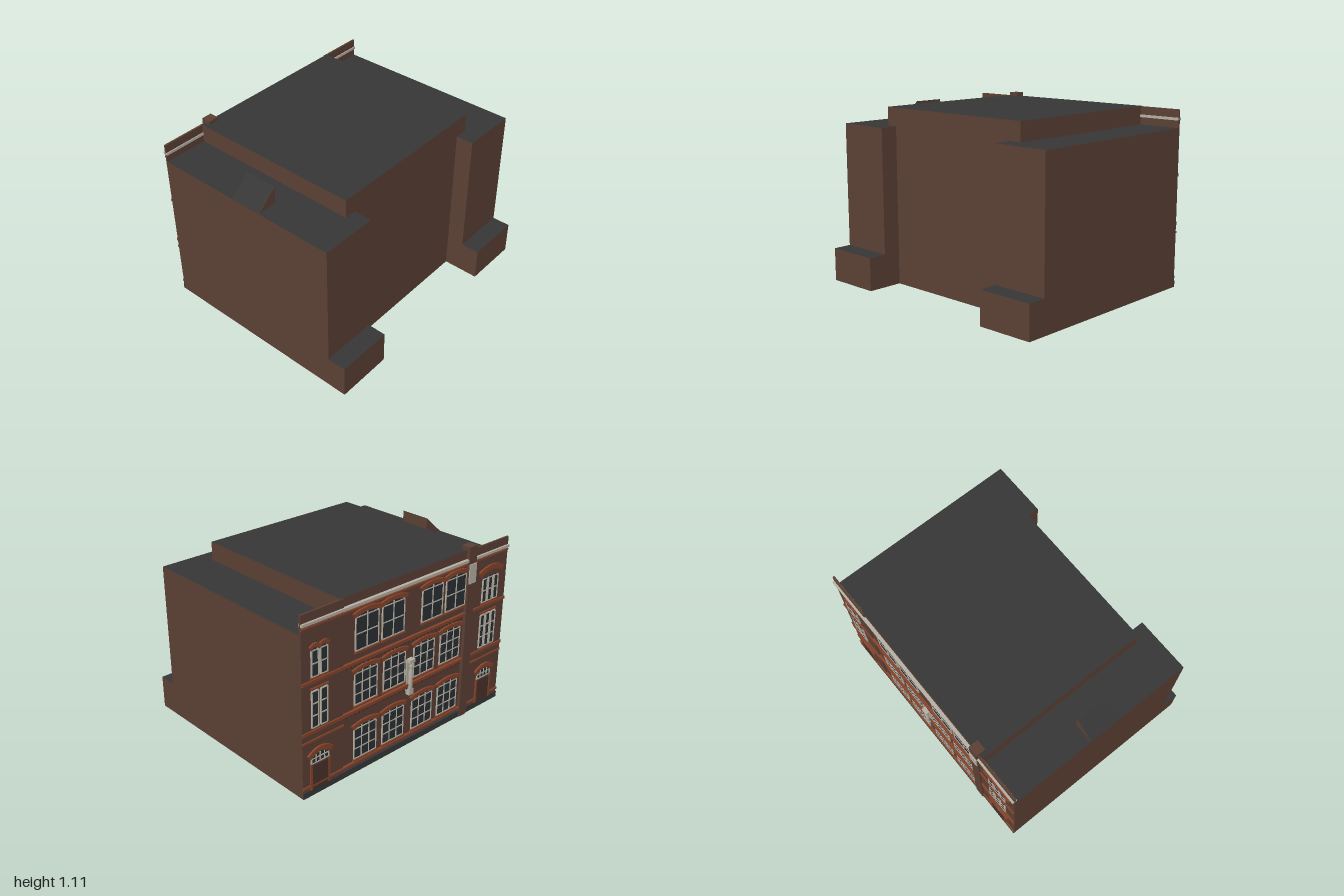
import * as THREE from 'three';

const paint = (name, color, side = THREE.FrontSide) => {
  const m = new THREE.MeshStandardMaterial({ color, side });
  m.name = name;
  return m;
};

export function createModel() {
  const brick = paint('brown brick', 0x5a3f33, THREE.DoubleSide);
  const slate = paint('dark roofing', 0x363636, THREE.DoubleSide);
  const terracotta = paint('orange terracotta', 0x84432a);
  const stone = paint('pale stone', 0xb4afa3);
  const glass = paint('dark glass', 0x2b3033);
  const wood = paint('door brown', 0x49302a);

  const model = new THREE.Group();
  model.name = 'building';
  // Local axes: x runs along the street facade, z runs into the plot
  const plot = new THREE.Group();
  plot.name = 'plot';
  plot.position.set(-0.994, 0, -0.303);
  plot.rotation.y = THREE.MathUtils.degToRad(22.2);
  model.add(plot);

  const add = (name, geo, mat, parent = plot) => {
    const mesh = new THREE.Mesh(geo, mat);
    mesh.name = name;
    parent.add(mesh);
    return mesh;
  };
  // Box given by its extents
  const block = (name, mat, x0, x1, y0, y1, z0, z1, parent) => {
    const m = add(name, new THREE.BoxGeometry(x1 - x0, y1 - y0, z1 - z0), mat, parent);
    m.position.set((x0 + x1) / 2, (y0 + y1) / 2, (z0 + z1) / 2);
    return m;
  };
  // Upright sheets following a ground path of [x, z] points
  const walls = (name, path, y0, y1) => {
    const p = [];
    for (let i = 0; i + 1 < path.length; i++) {
      const [a, b] = path[i], [c, d] = path[i + 1];
      p.push(a, y0, b, a, y1, b, c, y1, d, a, y0, b, c, y1, d, c, y0, d);
    }
    const g = new THREE.BufferGeometry();
    g.setAttribute('position', new THREE.Float32BufferAttribute(p, 3));
    g.computeVertexNormals();
    return add(name, g, brick);
  };
  const roof = (name, x0, x1, z0, z1, y) => {
    const g = new THREE.PlaneGeometry(x1 - x0, z1 - z0).rotateX(-Math.PI / 2);
    add(name, g, slate).position.set((x0 + x1) / 2, y, (z0 + z1) / 2);
  };

  // Open-bottomed shell: main hall with two wings
  const W = 1.62, H = 0.975, T = 1.088, L = 0.205, D = 1.09, E = 1.2, F = 1.315;
  const inL = 0.345, inR = 1.268, upL = 0.274, upR = 1.35;
  walls('outerWalls', [[0, E], [0, 0], [W, 0], [W, E]], 0, H);
  walls('hallEndWall', [[inL, E], [inL, D], [inR, D], [inR, E]], 0, H);
  walls('upperWalls', [[upL, 0], [upR, 0], [upR, D], [upL, D], [upL, 0]], H, T);
  roof('hallRoof', upL, upR, 0, D, T);
  for (const [side, a, b, u0, u1] of [['right', 0, inL, 0, upL], ['left', inR, W, upR, W]]) {
    walls(side + 'WingEnd', [[a, E], [b, E]], L, H);
    walls(side + 'Annex', [[a, E], [a, F], [b, F], [b, E]], 0, L);
    roof(side + 'AnnexRoof', a, b, E, F, L);
    roof(side + 'WingRoof', u0, u1, 0, D, H);
    roof(side + 'WingRoofEnd', a, b, D, E, H);
  }
  roof('hallCornerRoof', upL, inL, D - 0.01, E, H - 0.001);

  // Wedge dormer rising toward the hall
  const wedge = new THREE.Shape([[0, 0], [0.122, 0], [0.122, 0.108]].map(p => new THREE.Vector2(...p)));
  add('dormer', new THREE.ExtrudeGeometry(wedge, { depth: 0.2, bevelEnabled: false }), brick).position.set(0.003, H, 0.525);
  const pitch = new THREE.PlaneGeometry(Math.hypot(0.122, 0.108), 0.2).rotateX(-Math.PI / 2);
  const dormerRoof = add('dormerRoof', pitch, slate);
  dormerRoof.rotation.z = Math.atan2(0.108, 0.122);
  dormerRoof.position.set(0.063, H + 0.056, 0.625);

  // Street facade
  const facade = new THREE.Group();
  facade.name = 'facade';
  plot.add(facade);
  const bayZ = -0.008;
  const bays = [[0, 0.3], [1.33, W]];
  for (const [a, b] of bays) {
    block('endBay', brick, a, b, 0, 1.085, bayZ, 0.004, facade);
    block('bayBand', terracotta, a, b, 0.337, 0.348, bayZ - 0.007, 0, facade);
  }
  block('pier', brick, 0.3, 0.365, 0, 1.11, -0.02, 0.04, facade);
  block('pierPanel', stone, 0.303, 0.362, 0.885, 1.005, -0.027, -0.02, facade);
  block('cornice', stone, 0, W, 1.02, 1.036, -0.02, 0.01, facade);
  block('corniceMoulding', terracotta, 0, W, 1.0, 1.01, -0.013, 0, facade);
  block('plinth', slate, 0, W, 0, 0.038, -0.014, 0, facade);
  for (const [y, h] of [[0.685, 0.018], [0.388, 0.018], [0.055, 0.014]])
    block('stringCourse', terracotta, 0, W, y, y + h, -0.016, 0, facade);
  for (let i = 0; i < 30; i++) {
    const x = 0.39 + i * 0.0315;
    for (const y of [0.67, 0.373]) block('dentil', wood, x, x + 0.012, y, y + 0.015, -0.012, 0, facade);
  }

  // Curved strip over an opening
  const arch = (name, mat, x, y, w, rise, th, z, d) => {
    const s = new THREE.Shape();
    s.moveTo(-w / 2, 0).quadraticCurveTo(0, rise * 2, w / 2, 0);
    s.lineTo(w / 2 + th * 0.5, th).quadraticCurveTo(0, rise * 2 + th, -w / 2 - th * 0.5, th);
    const g = new THREE.ExtrudeGeometry(s, { depth: d, bevelEnabled: false, curveSegments: 8 });
    add(name, g, mat, facade).position.set(x, y, z - d);
  };
  // Pane with a curved head, stone frame and glazing bars
  const opening = (x, y, w, h, rise, cols, rows, z, bar = 0.007) => {
    const s = new THREE.Shape();
    s.moveTo(-w / 2, 0).lineTo(w / 2, 0).lineTo(w / 2, h).quadraticCurveTo(0, h + rise * 2, -w / 2, h);
    add('windowPane', new THREE.ExtrudeGeometry(s, { depth: 0.004, bevelEnabled: false, curveSegments: 8 }), glass, facade)
      .position.set(x, y, z - 0.004);
    for (let i = 0; i <= cols; i++) {
      const u = -w / 2 + (w * i) / cols;
      const top = h + rise * (1 - (2 * u / w) ** 2);
      block('glazingBar', stone, x + u - bar / 2, x + u + bar / 2, y, y + top, z - 0.008, z, facade);
    }
    for (let j = 0; j <= rows; j++) {
      const v = y + (h * j) / rows;
      block('glazingBar', stone, x - w / 2, x + w / 2, v - bar / 2, v + bar / 2, z - 0.007, z, facade);
    }
  };

  // Three storeys of wide windows
  const storeys = [
    { y: 0.085, h: 0.19, cols: 3, rows: 3, xs: [1.16, 0.94, 0.70, 0.478] },
    { y: 0.43, h: 0.19, cols: 3, rows: 3, xs: [1.16, 0.94, 0.70, 0.478] },
    { y: 0.757, h: 0.192, cols: 2, rows: 2, xs: [1.157, 0.96, 0.648, 0.45] },
  ];
  for (const { y, h, cols, rows, xs } of storeys) for (const x of xs) {
    const w = 0.168;
    opening(x, y, w, h, 0.016, cols, rows, 0, 0.006);
    arch('windowArch', terracotta, x, y + h + 0.003, w + 0.02, 0.018, 0.024, 0, 0.012);
    block('windowSill', terracotta, x - w / 2 - 0.008, x + w / 2 + 0.008, y - 0.014, y - 0.003, -0.012, 0, facade);
  }

  // End bays: door below, grouped narrow lights above
  for (const [cx, n, w] of [[0.147, 3, 0.15], [1.5, 2, 0.125]]) {
    const step = w / n, lw = step * 0.74;
    for (let i = 0; i < n; i++) {
      const x = cx + (i - (n - 1) / 2) * step;
      opening(x, 0.42, lw, 0.215, 0, 1, 3, bayZ, 0.007);
      opening(x, 0.72, lw, 0.15, 0.012, 1, 2, bayZ, 0.007);
      if (n === 2) arch('lightArch', terracotta, x, 0.872, lw + 0.01, 0.018, 0.02, bayZ, 0.01);
    }
    if (n === 3) arch('bayArch', terracotta, cx, 0.888, w + 0.04, 0.03, 0.032, bayZ, 0.012);
    block('baySill', terracotta, cx - w / 2, cx + w / 2, 0.708, 0.718, bayZ - 0.008, bayZ, facade);
    block('bayLintel', terracotta, cx - w / 2, cx + w / 2, 0.645, 0.656, bayZ - 0.008, bayZ, facade);
    block('door', wood, cx - 0.055, cx + 0.055, 0.038, 0.19, bayZ - 0.008, bayZ, facade);
    for (const e of [-1, 1])
      block('doorJamb', terracotta, cx + e * 0.064 - 0.006, cx + e * 0.064 + 0.006, 0.038, 0.2, bayZ - 0.01, bayZ, facade);
    opening(cx, 0.2, 0.12, 0.03, 0.026, 4, 1, bayZ, 0.006);
    arch('doorArch', terracotta, cx, 0.233, 0.15, 0.034, 0.027, bayZ, 0.013);
  }

  // Stone figure on a bracket at the middle of the facade
  const figure = new THREE.Group();
  figure.name = 'nicheFigure';
  figure.position.set(0.82, 0, 0);
  facade.add(figure);
  block('nichePanel', stone, -0.022, 0.022, 0.36, 0.555, -0.008, 0, figure);
  block('bracket', stone, -0.018, 0.018, 0.34, 0.375, -0.03, 0, figure);
  const body = [[0, 0], [0.015, 0], [0.012, 0.06], [0.014, 0.11], [0.005, 0.128], [0.009, 0.14], [0.007, 0.152], [0, 0.157]];
  add('figure', new THREE.LatheGeometry(body.map(p => new THREE.Vector2(...p)), 12), stone, figure).position.set(0, 0.375, -0.018);
  block('canopy', stone, -0.021, 0.021, 0.545, 0.565, -0.032, 0, figure);
  return model;
}
